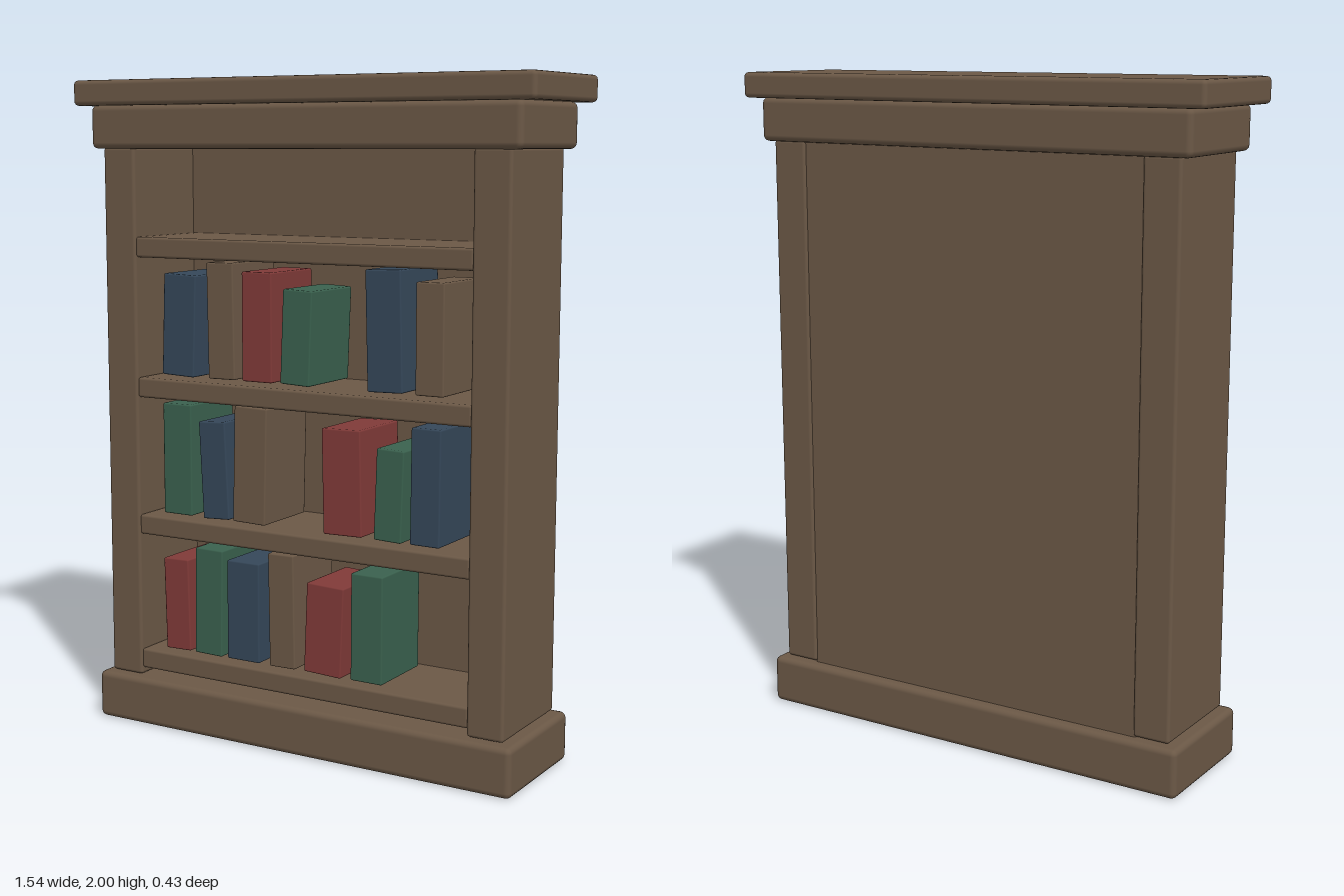
import * as THREE from 'three';
import { RoundedBoxGeometry } from 'three/addons/geometries/RoundedBoxGeometry.js';

const material = (name, color) => {
  const m = new THREE.MeshStandardMaterial({ color });
  m.name = name;
  return m;
};

export function createModel() {
  const model = new THREE.Group();
  model.name = 'bookcase';
  const wood = material('brown wood', 0x6b5846);
  const covers = {
    red: material('red cover', 0x803a38),
    green: material('green cover', 0x3a614e),
    blue: material('blue cover', 0x354759),
    brown: wood,
  };

  // Softly rounded box given by its limits on each axis
  const board = (name, [x0, x1], [y0, y1], [z0, z1], radius) => {
    const mesh = new THREE.Mesh(new RoundedBoxGeometry(x1 - x0, y1 - y0, z1 - z0, 2, radius), wood);
    mesh.name = name;
    mesh.position.set((x0 + x1) / 2, (y0 + y1) / 2, (z0 + z1) / 2);
    model.add(mesh);
  };

  // Base and crown mouldings
  board('plinth', [-0.72, 0.72], [0, 0.148], [-0.2, 0.2], 0.018);
  board('frieze', [-0.72, 0.72], [1.795, 1.926], [-0.19, 0.19], 0.018);
  board('cornice', [-0.768, 0.768], [1.924, 2], [-0.213, 0.213], 0.014);

  // Upright sides and the back panel
  board('leftSide', [0.57, 0.685], [0.152, 1.8], [-0.173, 0.173], 0.01);
  board('rightSide', [-0.685, -0.57], [0.152, 1.8], [-0.173, 0.173], 0.01);
  board('backPanel', [-0.575, 0.575], [0.14, 1.81], [-0.165, -0.135], 0.004);

  // Shelves, by the height of their underside
  [0.174, 0.606, 1.037, 1.468].forEach((y, i) =>
    board(`shelf${i + 1}`, [-0.572, 0.572], [y, y + 0.062], [-0.15, 0.168], 0.008));

  // Rows of books: colour, centre x, width, height, lean
  const rows = [
    [0.246, [
      ['red', -0.45, 0.092, 0.29, 0.025], ['green', -0.331, 0.1, 0.335, -0.016],
      ['blue', -0.204, 0.116, 0.31, 0], ['brown', -0.066, 0.09, 0.35, 0.015],
      ['red', 0.082, 0.127, 0.275, -0.04], ['green', 0.228, 0.106, 0.325, -0.005],
    ]],
    [0.678, [
      ['green', -0.442, 0.105, 0.345, 0], ['blue', -0.307, 0.095, 0.3, 0.05],
      ['brown', -0.177, 0.115, 0.355, -0.025], ['red', 0.143, 0.13, 0.315, 0.02],
      ['green', 0.3, 0.09, 0.27, -0.035], ['blue', 0.418, 0.095, 0.34, -0.008],
    ]],
    [1.11, [
      ['blue', -0.431, 0.117, 0.31, -0.035], ['brown', -0.278, 0.095, 0.35, 0.015],
      ['red', -0.149, 0.105, 0.327, 0], ['green', -0.012, 0.1, 0.28, -0.04],
      ['blue', 0.281, 0.115, 0.35, 0.025], ['brown', 0.428, 0.09, 0.32, 0],
    ]],
  ];
  rows.forEach(([base, books], r) => {
    const row = new THREE.Group();
    row.name = `bookRow${r + 1}`;
    books.forEach(([color, x, width, height, lean], i) => {
      const book = new THREE.Mesh(new RoundedBoxGeometry(width, height, 0.23, 1, 0.005), covers[color]);
      book.name = `${color}Book${i + 1}`;
      book.position.set(x, base + height / 2, 0.03);
      book.rotation.z = lean;
      row.add(book);
    });
    model.add(row);
  });
  return model;
}
